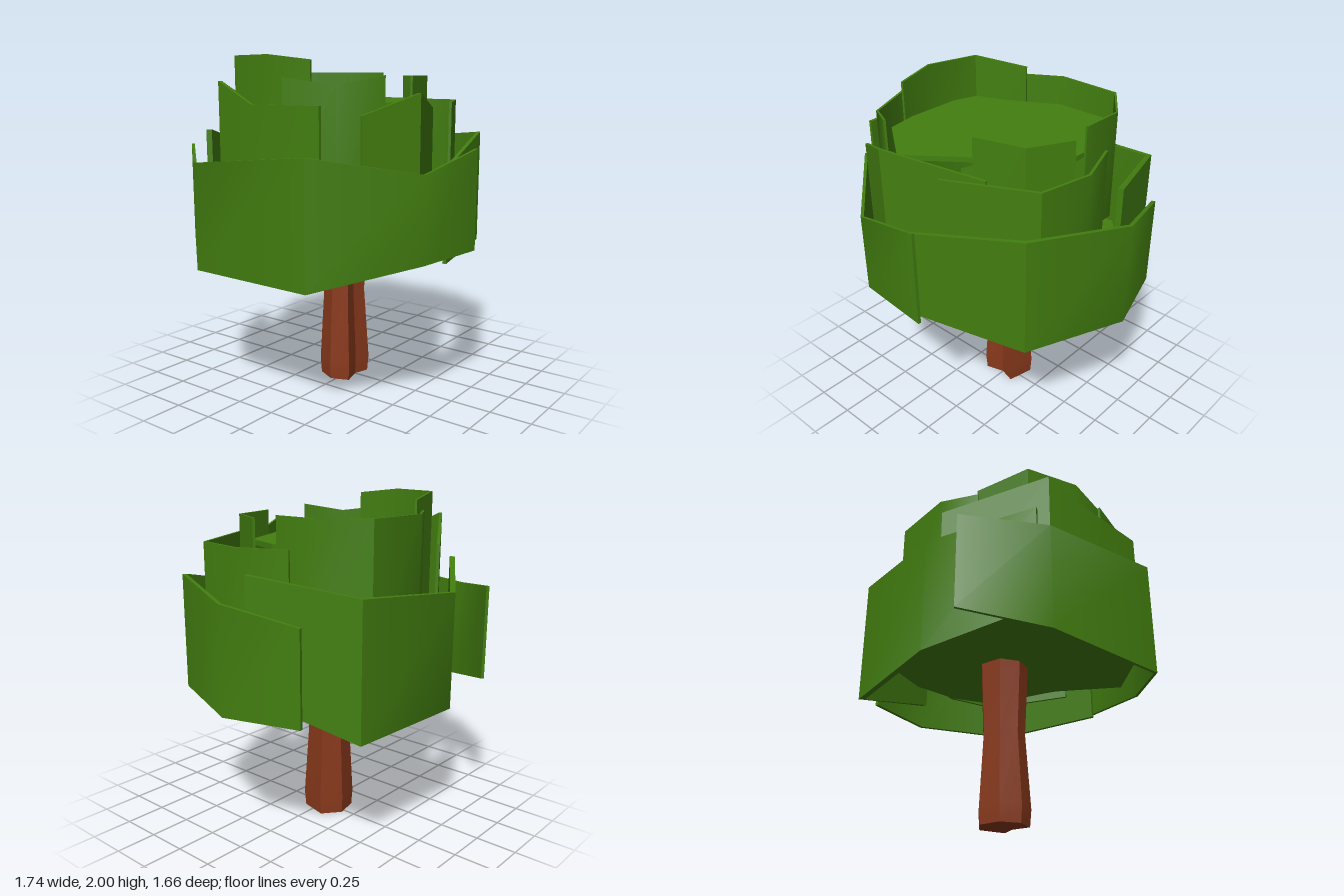
import * as THREE from 'three';
import { toCreasedNormals, mergeVertices } from 'three/addons/utils/BufferGeometryUtils.js';

const leafMat = new THREE.MeshStandardMaterial({ color: 0x437f10 });
const barkMat = new THREE.MeshStandardMaterial({ color: 0x8b3a1c });

// Skin a list of equal cross-sections, with end caps
function loft(rings, crease) {
  const n = rings[0].length, pos = rings.flat(2), idx = [];
  for (let i = 0; i < rings.length - 1; i++) {
    for (let j = 0; j < n; j++) {
      const k = (j + 1) % n, a = i * n, b = a + n;
      idx.push(a + j, a + k, b + k, a + j, b + k, b + j);
    }
  }
  const last = (rings.length - 1) * n;
  for (let j = 1; j < n - 1; j++) {
    idx.push(0, j + 1, j, last, last + j, last + j + 1);
  }
  // Turn the faces outward if the enclosed volume is negative
  const v = (i) => new THREE.Vector3().fromArray(pos, idx[i] * 3);
  let volume = 0;
  for (let i = 0; i < idx.length; i += 3) volume += v(i).dot(v(i + 1).cross(v(i + 2)));
  if (volume < 0) idx.reverse();
  const geo = new THREE.BufferGeometry();
  geo.setAttribute('position', new THREE.Float32BufferAttribute(pos, 3));
  geo.setIndex(idx);
  return toCreasedNormals(mergeVertices(geo), crease);
}

// Bent leaf panel: points are [x, z, top, bottom]
function panel(points, thickness) {
  const at = (i) => new THREE.Vector2(points[i][0], points[i][1]);
  const side = (i) => {
    const d = at(i + 1).sub(at(i)).normalize();
    return new THREE.Vector2(-d.y, d.x);
  };
  const rings = points.map(([x, z, top, bottom], i) => {
    const s0 = side(Math.max(i - 1, 0));
    const s1 = side(Math.min(i, points.length - 2));
    const m = s0.clone().add(s1).normalize();
    m.multiplyScalar(thickness / 2 / m.dot(s1));
    return [
      [x + m.x, bottom, z + m.y], [x + m.x, top, z + m.y],
      [x - m.x, top, z - m.y], [x - m.x, bottom, z - m.y],
    ];
  });
  return loft(rings, 0.8);
}

// Flat leaf plate with its upper face at height y
function plate(outline, y, thickness) {
  const shape = new THREE.Shape(outline.map(([x, z]) => new THREE.Vector2(x, z)));
  const geo = new THREE.ExtrudeGeometry(shape, { depth: thickness, bevelEnabled: false });
  return geo.rotateX(Math.PI / 2).translate(0, y, 0);
}

export function createModel() {
  const tree = new THREE.Group();
  tree.name = 'tree';
  const add = (name, geo, mat) => {
    const mesh = new THREE.Mesh(geo, mat);
    mesh.name = name;
    tree.add(mesh);
  };

  // Trunk: notched polygon, slightly waisted
  const section = [[0, 0.05], [0.1, 0.08], [0.14, -0.09], [0.03, -0.18],
    [-0.11, -0.15], [-0.165, -0.03], [-0.12, 0.085]];
  const levels = [[0, 0.95], [0.1, 1], [0.55, 0.82], [1, 0.95]];
  add('trunk', loft(levels.map(([y, s]) => section.map(([x, z]) =>
    [-0.01 + (x + 0.01) * s, y, -0.05 + (z + 0.05) * s])), 0.3), barkMat);

  // Canopy floor and crown plates
  add('canopyFloor', plate([[-0.065, -0.665], [0.325, -0.665], [0.465, -0.51],
    [0.575, -0.255], [0.575, 0.04], [0.475, 0.295], [0.035, 0.46], [-0.31, 0.735],
    [-0.675, 0.46], [-0.725, 0.18], [-0.725, -0.17], [-0.665, -0.37],
    [-0.4, -0.45]], 1.02, 0.03), leafMat);
  add('crownPlate', plate([[-0.065, -0.57], [0.265, -0.57], [0.38, -0.45],
    [0.47, -0.23], [0.47, -0.03], [0.38, 0.22], [0.035, 0.37], [-0.265, 0.6],
    [-0.575, 0.37], [-0.61, 0.18], [-0.61, -0.17], [-0.56, -0.33],
    [-0.37, -0.4]], 1.75, 0.03), leafMat);

  // Outer leaf panels
  add('outerPanelRight', panel([[-0.52, -0.825, 1.475, 0.905], [-0.845, -0.45, 1.41, 0.79],
    [-0.86, 0.36, 1.49, 0.79], [-0.4, 0.775, 1.39, 0.91], [0.08, 0.82, 1.49, 0.91]], 0.018), leafMat);
  add('outerPanelLeft', panel([[-0.07, 0.717, 1.39, 0.845], [0.62, 0.555, 1.54, 0.845],
    [0.855, -0.02, 1.475, 0.845], [0.72, -0.47, 1.39, 0.845]], 0.022), leafMat);
  add('outerPanelBack', panel([[-0.74, -0.44, 1.59, 0.96], [-0.2, -0.78, 1.48, 0.79],
    [0.52, -0.7, 1.54, 0.76], [0.73, -0.09, 1.62, 0.95]], 0.032), leafMat);

  // Middle leaf panels
  add('middlePanelRight', panel([[-0.19, -0.68, 1.74, 1.02], [-0.74, -0.34, 1.86, 1.02],
    [-0.785, -0.06, 1.74, 1.02], [-0.76, 0.38, 1.74, 1.02]], 0.018), leafMat);
  add('middlePanelLeft', panel([[0.535, -0.22, 1.74, 1.02], [0.643, 0.08, 1.74, 1.02],
    [0.583, 0.4, 1.74, 1.02], [0.095, 0.64, 1.74, 1.02]], 0.016), leafMat);
  add('middlePanelFront', panel([[-0.615, 0.53, 1.69, 1.02], [-0.305, 0.68, 1.8, 1.02],
    [0.24, 0.435, 1.7, 1.02]], 0.016), leafMat);

  // Inner leaf panels
  add('innerPanelBack', panel([[0.487, -0.085, 1.91, 1.25], [0.49, -0.36, 1.91, 1.25],
    [0.31, -0.605, 1.91, 1.25], [-0.09, -0.622, 1.91, 1.25], [-0.3, -0.5, 1.91, 1.25]], 0.012), leafMat);
  add('innerPanelRight', panel([[-0.262, -0.472, 1.97, 1.25], [-0.592, -0.36, 2, 1.25],
    [-0.68, -0.04, 2, 1.25], [-0.632, 0.22, 1.97, 1.25]], 0.014), leafMat);
  add('innerPanelLeft', panel([[0.524, 0.055, 1.89, 1.25], [0.393, 0.3, 1.89, 1.25],
    [0.095, 0.38, 1.89, 1.25]], 0.014), leafMat);
  add('innerPanelFront', panel([[-0.73, 0.11, 1.88, 1.25], [-0.655, 0.4, 1.84, 1.25],
    [-0.42, 0.54, 1.89, 1.25]], 0.014), leafMat);

  return tree;
}
